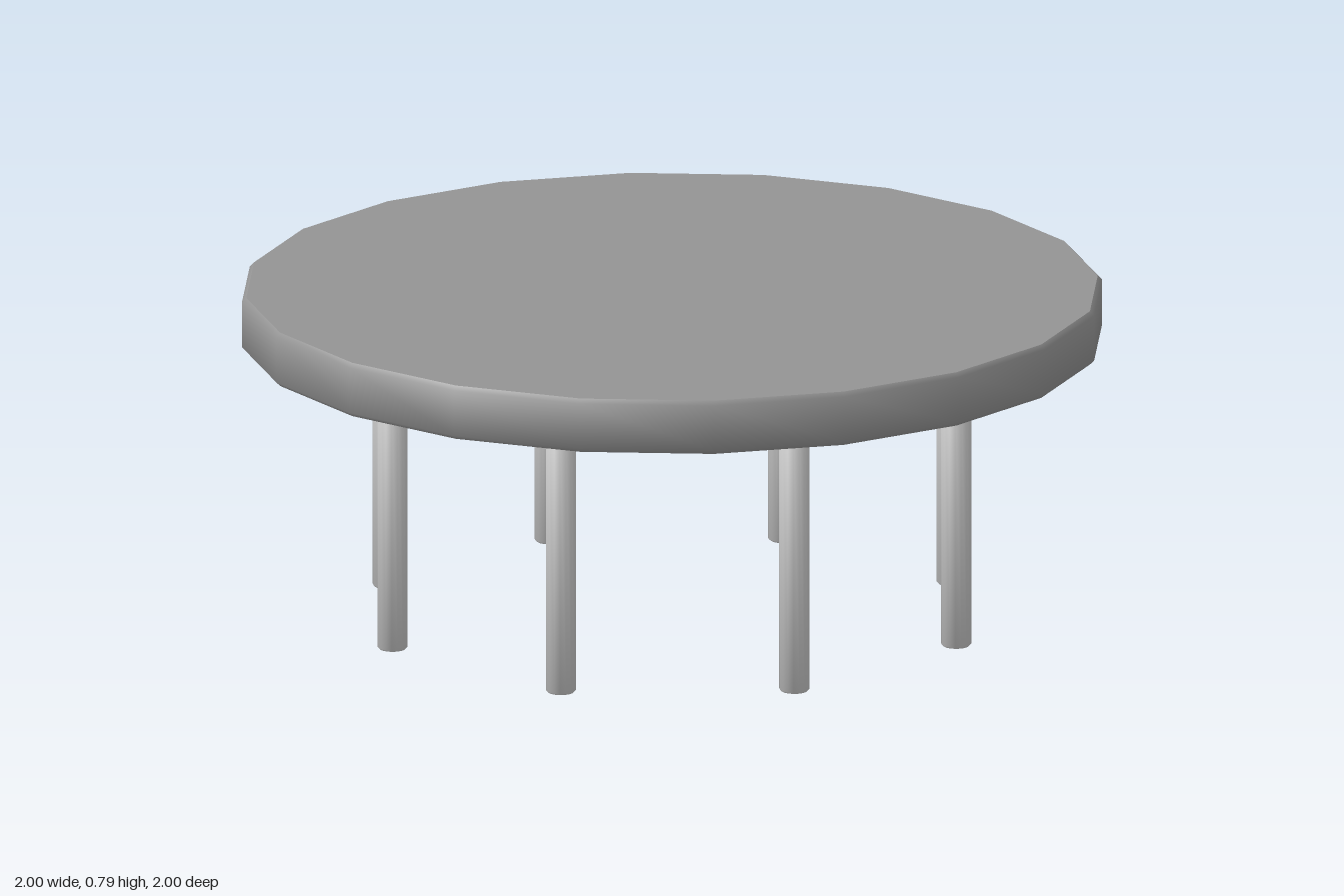
import * as THREE from 'three';
import { mergeGeometries, toCreasedNormals } from 'three/addons/utils/BufferGeometryUtils.js';

const TOP = 0.79, UNDERSIDE = 0.662;
const LEG_COUNT = 8, LEG_RING = 0.706, LEG_RADIUS = 0.035;

// Surface of revolution with smooth normals
function turned(points, sides) {
  const profile = points.map(([x, y]) => new THREE.Vector2(x, y));
  return toCreasedNormals(new THREE.LatheGeometry(profile, sides), 0.9);
}

// Flat ends joined by a softly rounded side
function easedCylinder(radius, y0, y1, ease, sides) {
  const inner = radius - ease;
  return mergeGeometries([
    turned([[0, y0], [inner, y0]], sides),
    turned([[inner, y0], [radius, y0 + ease], [radius, y1 - ease], [inner, y1]], sides),
    turned([[inner, y1], [0, y1]], sides),
  ]);
}

export function createModel() {
  const table = new THREE.Group();
  table.name = 'roundTable';
  const topMaterial = new THREE.MeshStandardMaterial({ color: 0x949494 });
  const legMaterial = new THREE.MeshStandardMaterial({ color: 0xcccccc });

  // Twenty-sided top in a darker grey
  const top = new THREE.Mesh(easedCylinder(1, UNDERSIDE, TOP, 0.01, 20), topMaterial);
  top.name = 'tabletop';
  table.add(top);

  // Ring of legs, turned by one side of the top
  const legGeometry = easedCylinder(LEG_RADIUS, 0, UNDERSIDE + 0.01, 0.005, 16);
  for (let i = 0; i < LEG_COUNT; i++) {
    const angle = Math.PI / 10 + (i / LEG_COUNT) * Math.PI * 2;
    const leg = new THREE.Mesh(legGeometry, legMaterial);
    leg.name = `leg${i + 1}`;
    leg.position.set(LEG_RING * Math.cos(angle), 0, LEG_RING * Math.sin(angle));
    table.add(leg);
  }
  return table;
}
